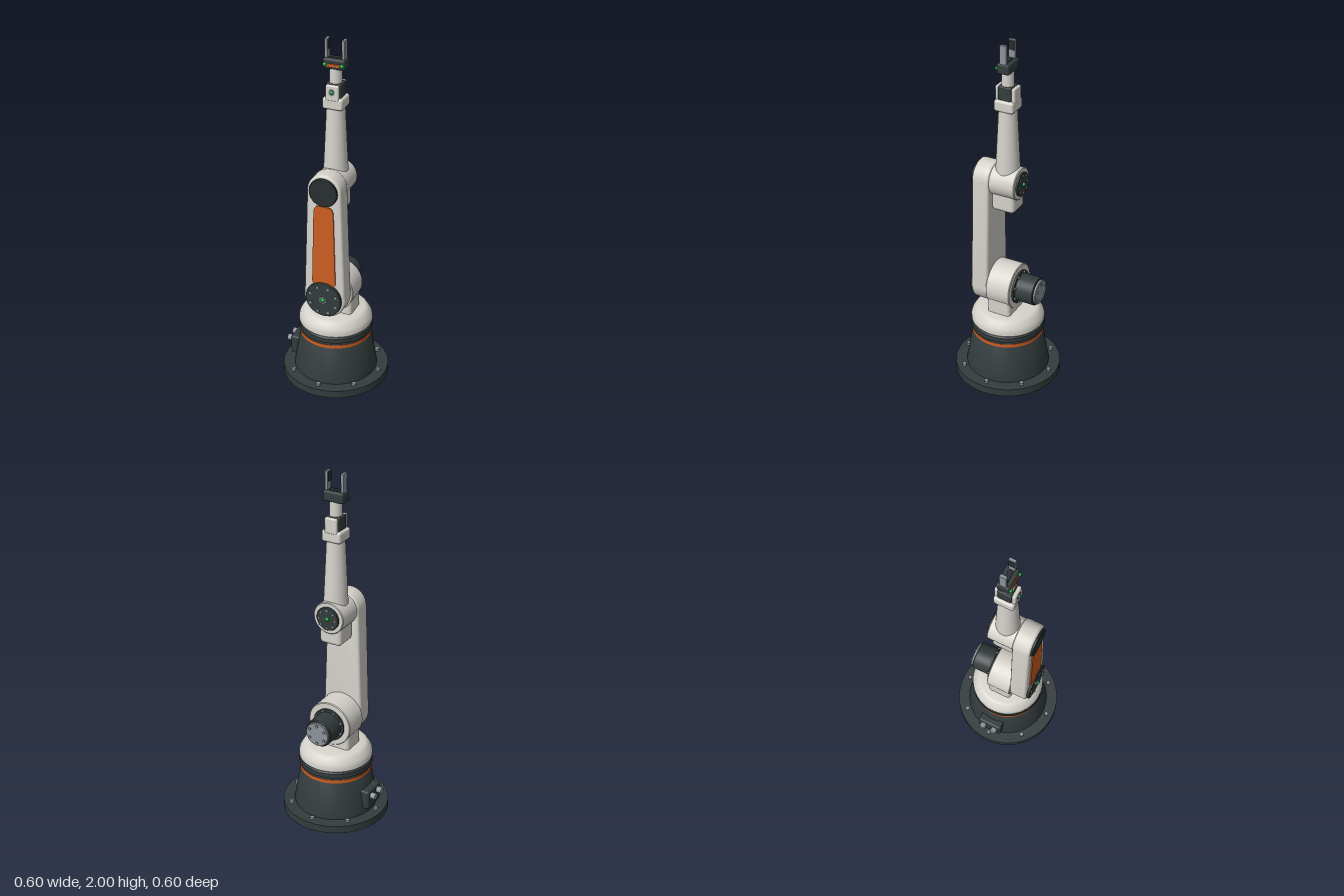
import * as THREE from 'three';
import { toCreasedNormals } from 'three/addons/utils/BufferGeometryUtils.js';
import { RoundedBoxGeometry } from 'three/addons/geometries/RoundedBoxGeometry.js';

export function createModel() {
  const root = new THREE.Group();
  root.name = 'robotArm';
  const mat = (name, color) => {
    const m = new THREE.MeshStandardMaterial({ color });
    m.name = name;
    return m;
  };
  const shell = mat('warmWhiteShell', 0xd6d3cc);
  const dark = mat('darkCasing', 0x343c3d);
  const cover = mat('blackCover', 0x293032);
  const orange = mat('orangeAccent', 0xcf5f22);
  const steel = mat('steel', 0x8d939b);
  const green = mat('greenLight', 0x12a540);

  const add = (name, geo, material, x = 0, y = 0, z = 0, parent = root) => {
    const m = new THREE.Mesh(geo, material);
    m.name = name;
    m.position.set(x, y, z);
    parent.add(m);
    return m;
  };
  const box = (name, w, h, d, r, material, x, y, z) =>
    add(name, new RoundedBoxGeometry(w, h, d, 3, r), material, x, y, z);
  const lathe = (pts, seg = 48) =>
    toCreasedNormals(new THREE.LatheGeometry(pts.map(p => new THREE.Vector2(...p)), seg), 0.6);
  // Closed barrel along z with softened rims
  const barrel = (name, r, z0, z1, y, material, b = 0.004) => {
    const g = lathe([[0, z0], [r - b, z0], [r, z0 + b], [r, z1 - b], [r - b, z1], [0, z1]], 40);
    return add(name, g.rotateX(Math.PI / 2), material, 0, y, 0);
  };
  // Ring of hexagonal bolt heads, facing along z
  const boltRing = (name, count, ring, r, h, y, z, phase = 0) => {
    const group = new THREE.Group();
    group.name = name;
    group.position.set(0, y, z);
    for (let i = 0; i < count; i++) {
      const a = phase + (i / count) * Math.PI * 2;
      add('bolt', new THREE.CylinderGeometry(r, r, h, 6).rotateX(Math.PI / 2), steel,
        Math.cos(a) * ring, Math.sin(a) * ring, 0, group);
    }
    root.add(group);
    return group;
  };
  const lamp = (name, r, x, y, z) => add(name, new THREE.SphereGeometry(r, 16, 12), green, x, y, z);
  // Outline around a lower and an upper circle
  const capsule = (r1, y1, r2, y2) => {
    const a = Math.asin((r1 - r2) / (y2 - y1));
    const s = new THREE.Shape();
    s.absarc(0, y1, r1, Math.PI - a, Math.PI * 2 + a, false);
    s.absarc(0, y2, r2, a, Math.PI - a, false);
    s.closePath();
    return s;
  };
  const extrude = (shape, depth, bevel) => toCreasedNormals(new THREE.ExtrudeGeometry(shape, {
    depth: depth - 2 * bevel, bevelEnabled: bevel > 0, bevelSize: bevel, bevelThickness: bevel,
    bevelSegments: 3, curveSegments: 24,
  }).translate(0, 0, bevel), 0.6);

  // Base
  add('baseFlange', lathe([[0, 0], [0.3, 0], [0.3, 0.045], [0, 0.045]]), dark);
  add('basePedestal', lathe([[0.235, 0.045], [0.235, 0.056], [0.2, 0.262], [0.197, 0.268], [0, 0.268]]), dark);
  add('orangeBand', lathe([[0, 0.264], [0.201, 0.264], [0.201, 0.284], [0, 0.284]]), orange);
  add('baseNeck', lathe([[0, 0.284], [0.199, 0.284], [0.199, 0.302], [0, 0.302]]), dark);
  add('swivelRing', lathe([[0, 0.302], [0.207, 0.302], [0.207, 0.328], [0.2, 0.337], [0, 0.337]]), dark);
  const baseBolts = boltRing('baseBolts', 8, 0.26, 0.013, 0.014, 0.052, 0);
  baseBolts.rotation.x = -Math.PI / 2;

  // Cable connector on the right side
  box('connectorBox', 0.07, 0.115, 0.142, 0.012, dark, -0.216, 0.134, 0);
  for (const z of [-0.035, 0.035]) {
    add('cablePlug', new THREE.CylinderGeometry(0.018, 0.018, 0.045, 20).rotateZ(Math.PI / 2), steel,
      -0.258, 0.157, z);
  }

  // Turret
  add('turret', lathe([[0, 0.337], [0.2, 0.337], [0.206, 0.343], [0.206, 0.366], [0.202, 0.38],
    [0.192, 0.397], [0.181, 0.413], [0.172, 0.421], [0.158, 0.425], [0, 0.425]]), shell);
  box('shoulderPedestal', 0.236, 0.13, 0.138, 0.02, shell, 0, 0.457, 0);

  // Shoulder joint and rear motor
  const sy = 0.564;
  barrel('shoulderBarrel', 0.13, -0.072, 0.072, sy, shell);
  barrel('motorFlange', 0.095, -0.083, -0.07, sy, dark, 0.002);
  boltRing('motorFlangeBolts', 8, 0.087, 0.007, 0.01, sy, -0.086, Math.PI / 8);
  barrel('motorHousing', 0.08, -0.19, -0.08, sy, dark);
  barrel('motorEndCap', 0.07, -0.204, -0.188, sy, steel, 0.003);
  boltRing('motorCapBolts', 6, 0.052, 0.008, 0.008, sy, -0.206, Math.PI / 6);

  // Upper arm
  const ey = 1.215;
  add('upperArm', extrude(capsule(0.106, sy, 0.083, ey), 0.1, 0.012), shell, 0, 0, 0.068);
  const panel = new THREE.Shape();
  panel.moveTo(-0.05, 0.645);
  panel.lineTo(0.05, 0.645);
  panel.quadraticCurveTo(0.068, 0.65, 0.067, 0.68);
  panel.lineTo(0.056, 1.095);
  panel.quadraticCurveTo(0.053, 1.13, 0.025, 1.132);
  panel.lineTo(-0.025, 1.132);
  panel.quadraticCurveTo(-0.053, 1.13, -0.056, 1.095);
  panel.lineTo(-0.067, 0.68);
  panel.quadraticCurveTo(-0.068, 0.65, -0.05, 0.645);
  add('armPanel', extrude(panel, 0.008, 0), orange, 0, 0, 0.167);
  barrel('shoulderCover', 0.104, 0.166, 0.184, sy, dark, 0.003);
  boltRing('shoulderCoverBolts', 8, 0.08, 0.008, 0.008, sy, 0.186, Math.PI / 8);
  boltRing('shoulderLampSeat', 1, 0, 0.022, 0.006, sy, 0.185);
  lamp('shoulderLamp', 0.013, 0, sy, 0.186);
  barrel('elbowCover', 0.08, 0.166, 0.181, ey, cover, 0.003);

  // Elbow joint
  barrel('elbowBarrel', 0.09, -0.08, 0.072, ey, shell);
  barrel('elbowRearCover', 0.066, -0.091, -0.078, ey, dark, 0.002);
  boltRing('elbowCoverBolts', 8, 0.05, 0.006, 0.007, ey, -0.093);
  lamp('elbowLamp', 0.012, 0, ey, -0.092);
  box('elbowHousing', 0.13, 0.14, 0.135, 0.022, shell, 0, 1.121, 0.001);
  box('elbowHousingVent', 0.07, 0.006, 0.07, 0.002, cover, 0, 1.05, 0);

  // Forearm and wrist
  add('forearm', new THREE.CylinderGeometry(0.048, 0.068, 0.42, 40), shell, 0, 1.45, 0);
  box('wristCollar', 0.112, 0.064, 0.112, 0.014, shell, 0, 1.664, 0);
  box('wristHub', 0.082, 0.08, 0.075, 0.006, dark, 0, 1.73, 0);
  for (const s of [-1, 1]) {
    box('wristCheek', 0.072, 0.085, 0.021, 0.008, shell, 0, 1.725, s * 0.047);
  }
  boltRing('wristLampSeat', 1, 0, 0.019, 0.005, 1.73, 0.058);
  lamp('wristLamp', 0.011, 0, 1.73, 0.059);
  add('wristNeck', new THREE.CylinderGeometry(0.032, 0.034, 0.1, 32), shell, 0, 1.8, 0);

  // Gripper
  box('gripperPalm', 0.12, 0.056, 0.07, 0.01, dark, 0, 1.873, 0);
  box('gripperStripe', 0.074, 0.016, 0.008, 0.002, orange, 0, 1.868, 0.036);
  box('gripperRail', 0.07, 0.008, 0.026, 0.002, cover, 0, 1.902, 0);
  for (const s of [-1, 1]) {
    lamp('gripperLamp', 0.011, s * 0.047, 1.87, 0.037);
    box('finger', 0.017, 0.105, 0.038, 0.003, steel, s * 0.047, 1.9475, 0);
    box('fingerPad', 0.006, 0.05, 0.03, 0.002, cover, s * 0.037, 1.97, 0);
  }
  return root;
}
